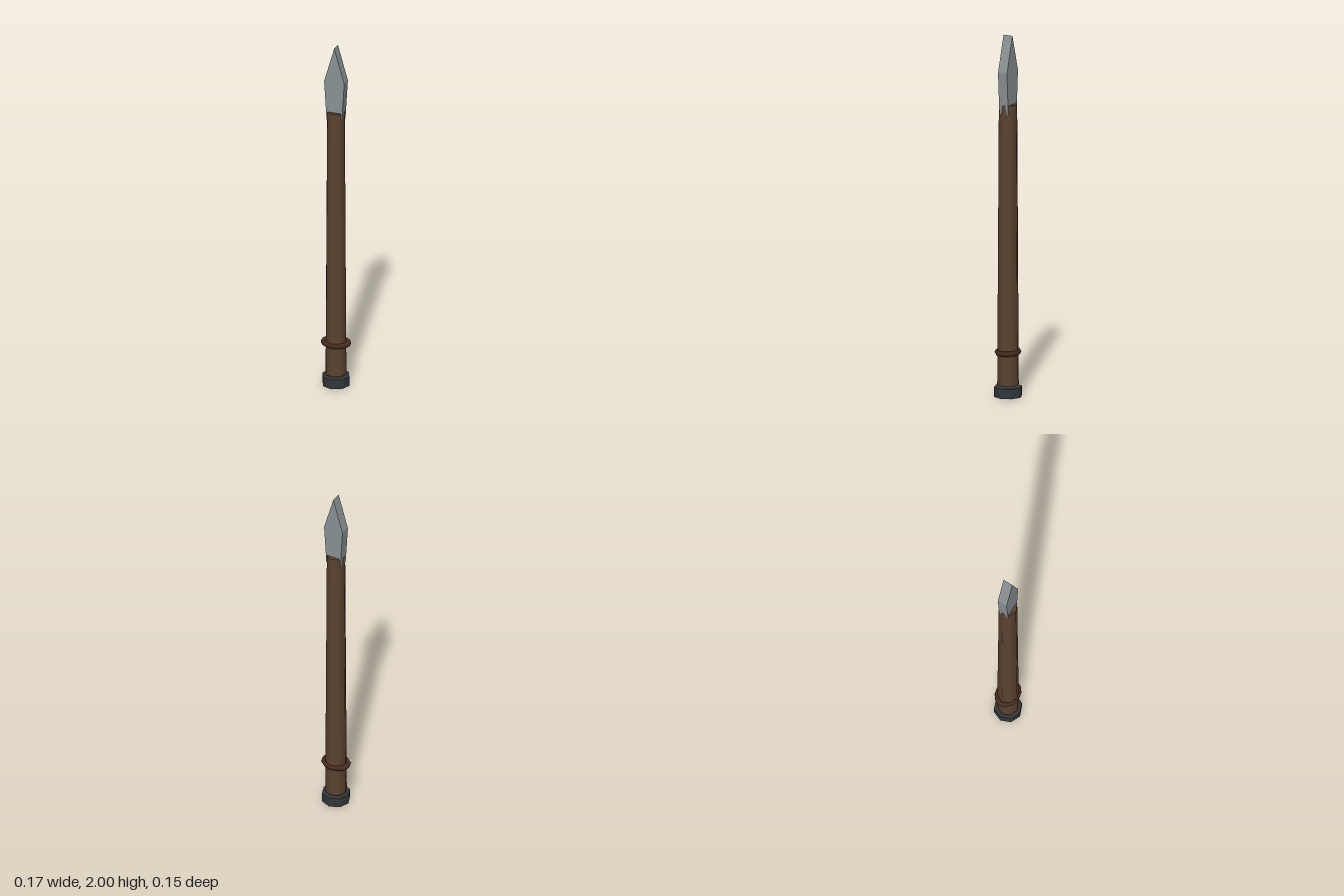
import * as THREE from 'three';

export function createModel() {
  const model = new THREE.Group();

  const add = (name, geometry, color, y = 0) => {
    const mesh = new THREE.Mesh(geometry, new THREE.MeshStandardMaterial({ color }));
    mesh.name = name;
    mesh.position.y = y;
    model.add(mesh);
    return mesh;
  };

  // Eight-sided wooden shaft, narrowing slightly towards the blade
  const bottom = 0.065, top = 1.62;
  add('shaft', new THREE.CylinderGeometry(0.051, 0.06, top - bottom, 8), 0x5c4330, (top + bottom) / 2);

  // Metal butt cap, floating just below the shaft
  add('buttCap', new THREE.CylinderGeometry(0.077, 0.077, 0.055, 8), 0x35393b, 0.0275);

  // Leather grip ring, flattened front to back
  const ring = new THREE.TorusGeometry(0.07, 0.015, 6, 12).rotateX(Math.PI / 2).scale(1, 1, 0.8);
  add('gripRing', ring, 0x4a2c22, 0.247);

  // Flat blade with its foot sunk into the shaft
  const outline = [[-0.044, 1.57], [0.044, 1.57], [0.058, 1.8], [0, 2], [-0.058, 1.8]];
  const shape = new THREE.Shape(outline.map(([x, y]) => new THREE.Vector2(x, y)));
  const depth = 0.056;
  const blade = new THREE.ExtrudeGeometry(shape, { depth, bevelEnabled: false }).translate(0, 0, -depth / 2);
  add('blade', blade, 0x8a9296);

  return model;
}
